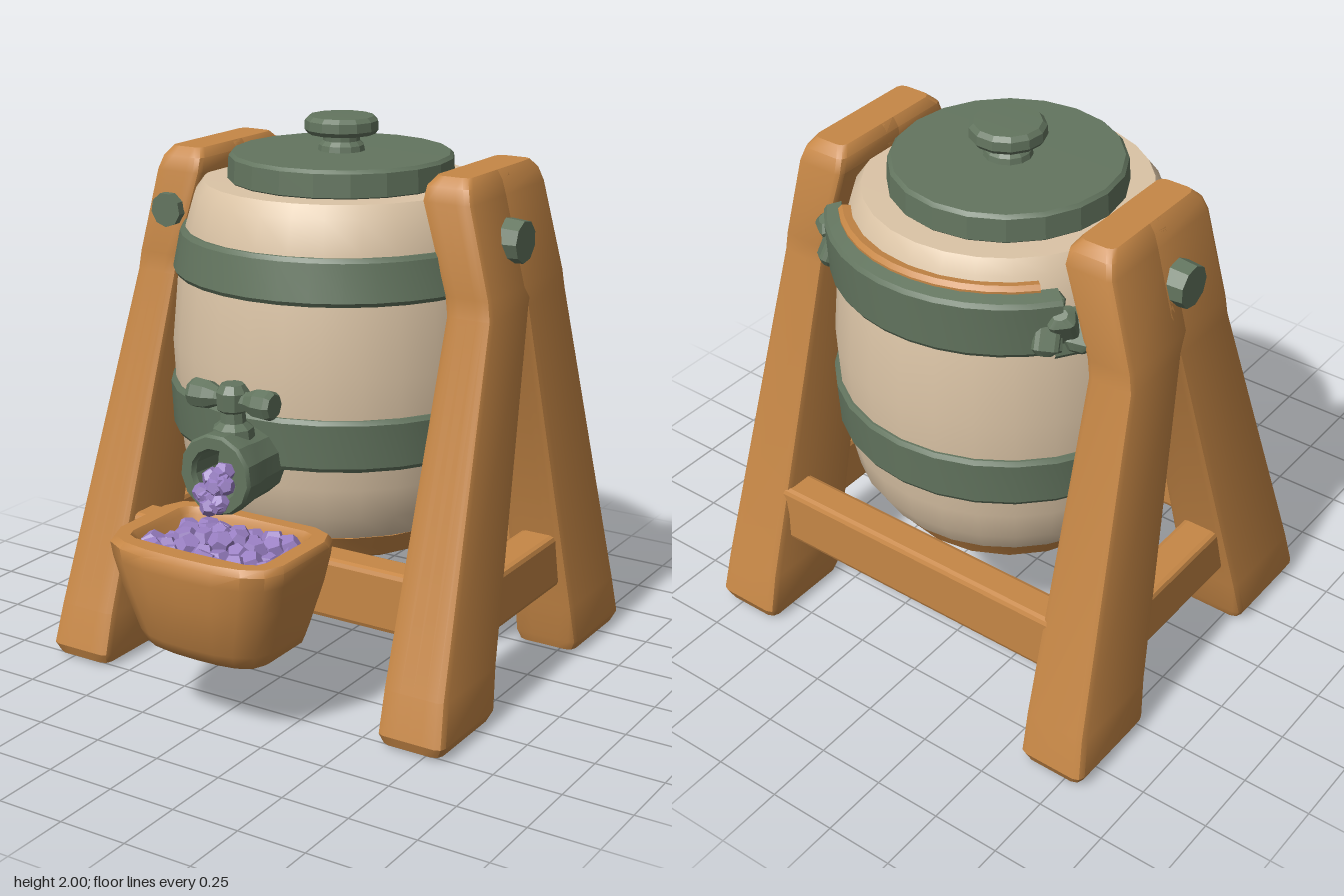
import * as THREE from 'three';
import { toCreasedNormals } from 'three/addons/utils/BufferGeometryUtils.js';

const mat = (name, color) => {
  const m = new THREE.MeshStandardMaterial({ color });
  m.name = name;
  return m;
};
const BARREL_Z = -0.16;

// Seeded random for the berries
function seeded(seed) {
  return () => (seed = (seed * 16807) % 2147483647) / 2147483647;
}

// Rounded rectangle at height y, with an optional bulge on the +z side
function ring([y, x0, x1, z0, z1, c, bulge = 0]) {
  const k = c * 0.293; // middle point of each rounded corner
  const mid = (x0 + x1) / 2, q = (x1 - x0) / 5;
  return [
    [mid, z1 + bulge], [mid + q, z1 + bulge * 0.85],
    [x1 - c, z1 + bulge * 0.3], [x1 - k, z1 - k], [x1, z1 - c],
    [x1, z0 + c], [x1 - k, z0 + k], [x1 - c, z0],
    [x0 + c, z0], [x0 + k, z0 + k], [x0, z0 + c],
    [x0, z1 - c], [x0 + k, z1 - k], [x0 + c, z1 + bulge * 0.3], [mid - q, z1 + bulge * 0.85],
  ].map(([x, z]) => [x, y, z]);
}

// Solid through a list of rounded rectangles, capped at both ends
function loft(sections) {
  const rings = sections.map(ring), n = rings[0].length, pos = [], idx = [];
  rings.forEach(r => r.forEach(p => pos.push(...p)));
  for (let i = 0; i < rings.length - 1; i++) {
    for (let j = 0; j < n; j++) {
      const a = i * n + j, b = i * n + (j + 1) % n;
      idx.push(a, b, b + n, a, b + n, a + n);
    }
  }
  const last = (rings.length - 1) * n;
  for (let j = 1; j < n - 1; j++) idx.push(0, j + 1, j, last, last + j, last + j + 1);
  const g = new THREE.BufferGeometry();
  g.setAttribute('position', new THREE.Float32BufferAttribute(pos, 3));
  g.setIndex(idx);
  return g;
}

const lathe = (pts, seg, start = 0, len = Math.PI * 2) =>
  new THREE.LatheGeometry(pts.map(p => new THREE.Vector2(...p)), seg, start, len);

// Bar with bevelled ends along y, centred on the origin
function beam(w, len, d, c = 0.02) {
  const h = len / 2, s = (y, k) => [y, -w / 2 + k, w / 2 - k, -d / 2 + k, d / 2 - k, c];
  return loft([s(-h, c), s(-h + c, 0), s(h - c, 0), s(h, c)]);
}

export function createModel() {
  const group = new THREE.Group();
  const wood = mat('wood', 0xc68746);
  const green = mat('greenMetal', 0x63755f);
  const cream = mat('creamBarrel', 0xdbc4a6);
  const purple = mat('purpleBerry', 0x997fc3);

  const add = (name, geo, material, x = 0, y = 0, z = 0, crease = 0.3) => {
    const m = new THREE.Mesh(toCreasedNormals(geo, crease), material);
    m.name = name;
    m.position.set(x, y, z);
    group.add(m);
    return m;
  };

  // Barrel body and wooden underside
  add('barrel', lathe([[0.44, 0.58], [0.5, 0.6], [0.553, 0.69], [0.575, 0.8], [0.597, 1.0], [0.607, 1.2],
    [0.585, 1.45], [0.555, 1.62], [0.523, 1.73], [0.49, 1.775], [0, 1.78]], 28), cream, 0, 0, BARREL_Z, 0.5);
  add('barrelBase', lathe([[0, 0.475], [0.38, 0.48], [0.43, 0.505], [0.482, 0.59], [0.4, 0.6]], 20),
    wood, 0, 0, BARREL_Z, 0.5);

  // Metal hoops
  const hoop = (r0, y0, r1, y1, t, lift = 0) => [[r0 - t, y0], [r0 - 0.01, y0], [r0, y0 + 0.015],
    [r1, y1 - 0.015], [r1 - 0.01, y1], [r1 - t, y1 + lift], [r0 - t, y0]];
  add('lowerHoop', lathe(hoop(0.61, 0.875, 0.618, 1.06, 0.06), 28), green, 0, 0, BARREL_Z);
  add('upperHoop', lathe(hoop(0.602, 1.45, 0.576, 1.61, 0.06), 24, -2.25, 4.5), green, 0, 0, BARREL_Z);

  // Raised rear hoop section with wooden lining and bent ends
  const rearArc = 1.85, liningArc = 1.65;
  add('rearHoop', lathe(hoop(0.61, 1.475, 0.618, 1.68, 0.06, 0.015), 11, Math.PI - rearArc / 2, rearArc),
    green, 0, 0, BARREL_Z);
  add('rearLining', lathe([[0.515, 1.5], [0.568, 1.5], [0.568, 1.7], [0.555, 1.715], [0.525, 1.71], [0.515, 1.5]],
    11, Math.PI - liningArc / 2, liningArc), wood, 0, 0, BARREL_Z);
  for (const s of [-1, 1]) {
    [[0.86, 1.58, 0.21, 0.25], [0.96, 1.55, 0.2, -0.3], [1.06, 1.53, 0.15, 0.4]].forEach(([a, y, len, tilt]) => {
      const m = add('bentHoopEnd', beam(0.08, len, 0.09), green,
        s * Math.sin(a) * 0.575, y, BARREL_Z - Math.cos(a) * 0.575);
      m.rotation.set(tilt, s * a, s * tilt);
    });
  }

  // Lid and knob
  add('lid', lathe([[0, 1.765], [0.39, 1.765], [0.405, 1.78], [0.4, 1.86], [0.388, 1.872], [0, 1.876]], 20),
    green, 0, 0, BARREL_Z);
  add('lidKnob', lathe([[0.085, 1.87], [0.08, 1.895], [0.066, 1.91], [0.066, 1.93], [0.12, 1.935], [0.132, 1.95],
    [0.13, 1.982], [0.115, 1.997], [0, 2]], 13), green, 0, 0, BARREL_Z);

  // A-frames: y, inner x, outer x, inner z, outer z, corner radius
  const legSections = [
    [0, 0.605, 0.785, 0.185, 0.49, 0.03], [0.012, 0.585, 0.81, 0.16, 0.525, 0.03],
    [0.05, 0.573, 0.828, 0.145, 0.54, 0.03], [0.2, 0.572, 0.815, 0.112, 0.5, 0.03],
    [1.4, 0.56, 0.735, -0.212, 0.088, 0.025], [1.47, 0.55, 0.725, -0.26, 0.084, 0.025],
    [1.78, 0.455, 0.645, -0.26, 0.076, 0.025], [1.83, 0.458, 0.63, -0.26, 0.058, 0.025],
    [1.862, 0.48, 0.61, -0.26, 0.025, 0.025],
  ];
  for (const s of [-1, 1]) {
    for (const front of [true, false]) {
      add(front ? 'frontLeg' : 'backLeg', loft(legSections.map(([y, xi, xo, zi, zo, c]) => {
        const mid = -0.17 - 0.035 * Math.min(1, y / 1.4);
        const zs = front ? [zi, zo] : [2 * mid - zo, 2 * mid - zi];
        return [y, ...(s > 0 ? [xi, xo] : [-xo, -xi]), ...zs, c];
      })), wood, 0, 0, 0, 0.6);
    }
    // Side rail between the legs
    add('sideRail', beam(0.14, 0.86, 0.21), wood, s * 0.7, 0.39, -0.17).rotation.x = Math.PI / 2;
    // Side pivot bolt
    add('sideBolt', new THREE.CylinderGeometry(0.074, 0.08, 0.07, 9), green, s * 0.7, 1.63, -0.155)
      .rotation.z = -s * Math.PI / 2;
  }
  add('frontBolt', new THREE.CylinderGeometry(0.063, 0.063, 0.07, 9), green, -0.58, 1.64, 0.075)
    .rotation.x = Math.PI / 2;

  // Front and back rails
  for (const z of [0.29, -0.685]) {
    add('crossRail', beam(0.225, 1.26, 0.13), wood, 0, 0.44, z).rotation.z = Math.PI / 2;
  }

  // Catch bowl and its mount
  add('bowl', loft([
    [0.27, -0.225, 0.225, 0.42, 0.75, 0.07, 0.02], [0.285, -0.245, 0.245, 0.405, 0.77, 0.08, 0.02],
    [0.33, -0.262, 0.262, 0.395, 0.79, 0.09, 0.03], [0.5, -0.315, 0.315, 0.375, 0.825, 0.1, 0.035],
    [0.6, -0.338, 0.338, 0.37, 0.84, 0.1, 0.038], [0.65, -0.345, 0.345, 0.37, 0.845, 0.1, 0.035],
    [0.672, -0.333, 0.333, 0.382, 0.832, 0.1, 0.03], [0.672, -0.275, 0.275, 0.43, 0.79, 0.05, 0.01],
    [0.65, -0.258, 0.258, 0.445, 0.775, 0.04, 0.01], [0.5, -0.22, 0.22, 0.46, 0.74, 0.04, 0.01],
  ]), wood, 0, 0, 0, 0.8);
  add('bowlMount', beam(0.4, 0.2, 0.12), wood, 0, 0.48, 0.36);

  // Tap spout, open at the front
  add('tapSpout', lathe([[0.13, 0], [0.133, 0.12], [0.143, 0.17], [0.143, 0.225], [0.135, 0.237],
    [0.095, 0.237], [0.085, 0.22], [0.08, 0.1], [0, 0.1]], 13), green, 0, 0.893, 0.41, 0.45).rotation.x = Math.PI / 2;
  add('tapStem', lathe([[0.075, 1.0], [0.07, 1.035], [0.045, 1.055], [0.042, 1.09], [0.055, 1.1],
    [0.058, 1.16], [0.04, 1.187], [0, 1.187]], 9), green, 0, 0, 0.53);
  for (const s of [-1, 1]) {
    add('tapHandle', lathe([[0, 0], [0.03, 0], [0.033, 0.06], [0.05, 0.1], [0.053, 0.15], [0.043, 0.168], [0, 0.168]], 8),
      green, 0, 1.133, 0.53).rotation.z = -s * Math.PI / 2;
  }

  // Berries heaped in the bowl and falling from the spout
  const rnd = seeded(41);
  const berry = (x, y, z, r) => add('berry', new THREE.DodecahedronGeometry(r), purple, x, y, z, 0.1)
    .rotation.set(rnd() * 3, rnd() * 3, rnd() * 3);
  for (let j = 0; j < 6; j++) {
    for (let i = 0; i < 7; i++) {
      const x = -0.222 + i * 0.068 + (j % 2) * 0.034, z = 0.475 + j * 0.056;
      const heap = 0.06 * (1 - Math.abs(x) / 0.22) * (1 - Math.abs(j - 2.5) / 3);
      berry(x + (rnd() - 0.5) * 0.02, 0.58 + heap + rnd() * 0.035, z + (rnd() - 0.5) * 0.02, 0.045 + rnd() * 0.01);
    }
  }
  for (let i = 0; i < 14; i++) {
    const t = i / 13;
    berry(0.01 + (rnd() - 0.5) * 0.1 * (1.2 - t * 0.5), 0.9 - 0.1 * t, 0.615 + 0.065 * Math.sqrt(t) + rnd() * 0.01,
      0.031 + rnd() * 0.008);
  }

  return group;
}
